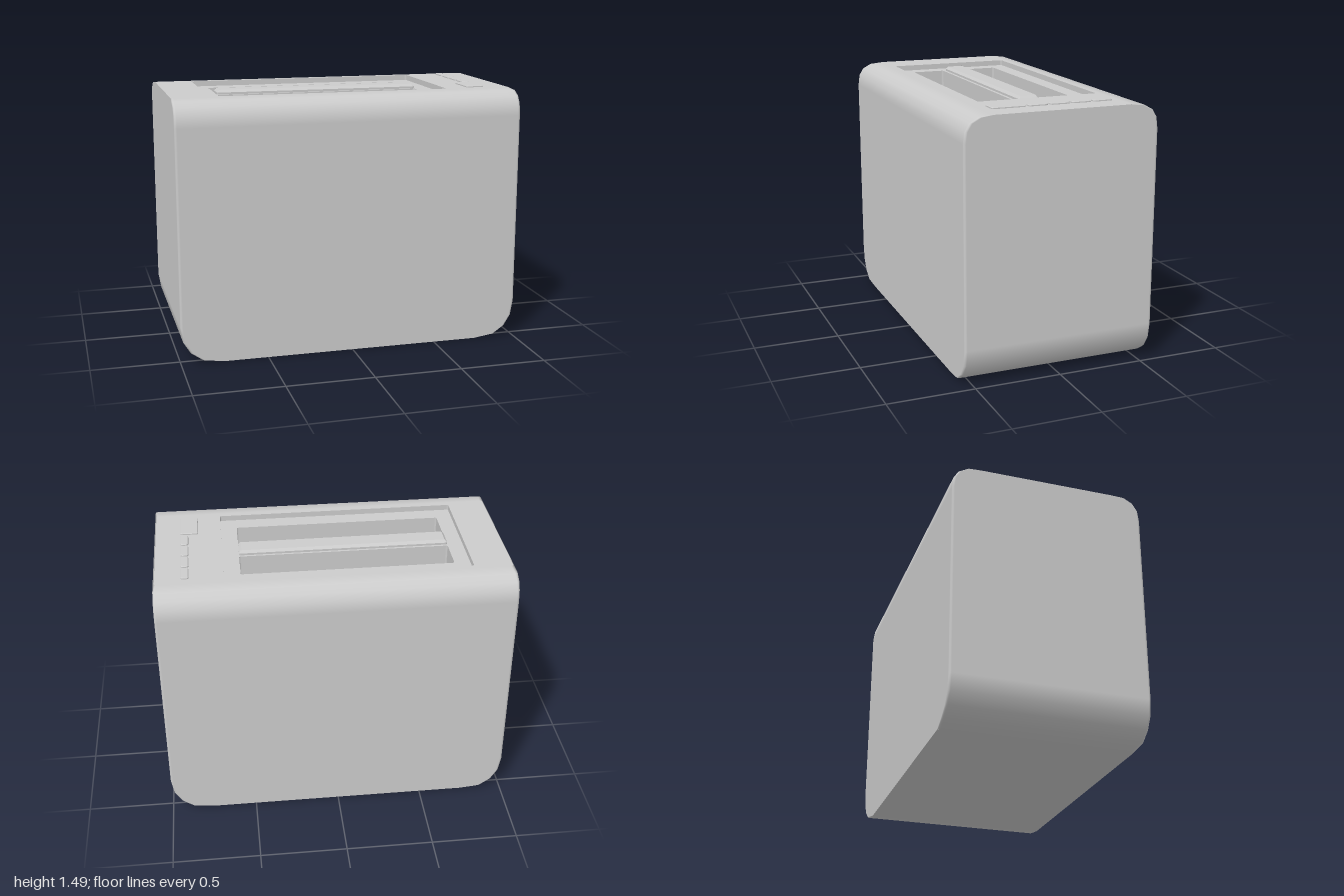
import * as THREE from 'three';

const grey = new THREE.MeshStandardMaterial({ color: 0xcccccc });

// Rounded rectangle in plan; z is stored as -y so it lies flat after rotation
function outline(Type, [x0, x1, z0, z1], r) {
  const p = new Type(), b = -z1, t = -z0;
  p.moveTo(x0 + r, b);
  p.lineTo(x1 - r, b).quadraticCurveTo(x1, b, x1, b + r);
  p.lineTo(x1, t - r).quadraticCurveTo(x1, t, x1 - r, t);
  p.lineTo(x0 + r, t).quadraticCurveTo(x0, t, x0, t - r);
  p.lineTo(x0, b + r).quadraticCurveTo(x0, b, x0 + r, b);
  return p;
}

// Horizontal slab from y0 to y1 with optional cut-outs and chamfer
function slab(name, rect, y0, y1, { r = 0.01, holes = [], bevel = 0 } = {}) {
  const shape = outline(THREE.Shape, rect, r);
  shape.holes = holes.map((h) => outline(THREE.Path, h, 0.01));
  const geo = new THREE.ExtrudeGeometry(shape, {
    depth: y1 - y0 - 2 * bevel, curveSegments: 3,
    bevelEnabled: bevel > 0, bevelThickness: bevel, bevelSize: bevel,
    bevelOffset: -bevel, bevelSegments: 1,
  });
  geo.rotateX(-Math.PI / 2).translate(0, y0 + bevel, 0);
  const mesh = new THREE.Mesh(geo, grey);
  mesh.name = name;
  return mesh;
}

// Housing: stacked rectangles, ends curving in at the bottom, front and back at the top
function housing() {
  // y, half width, half depth, tilt of end normal, tilt of front/back normal (degrees)
  const rings = [
    [0, 0.77, 0.55, -90, 0],
    [0.02, 0.88, 0.56, -67, 0],
    [0.065, 0.945, 0.56, -45, 0],
    [0.13, 0.985, 0.56, -22, 0],
    [0.22, 1, 0.56, 0, 0],
    [1.34, 1, 0.56, 0, 0],
    [1.405, 1, 0.551, 0, 22],
    [1.447, 1, 0.525, 0, 45],
    [1.474, 1, 0.475, 0, 67],
    [1.482, 0.993, 0.4, 0, 90],
  ];
  const r = 0.015, steps = 3, n = 4 * (steps + 1), rad = Math.PI / 180;
  const pos = [], nor = [], idx = [];
  rings.forEach(([y, hx, hz, tx, tz], i) => {
    for (let q = 0; q < 4; q++) {
      const sx = q === 0 || q === 3 ? 1 : -1, sz = q < 2 ? 1 : -1;
      for (let k = 0; k <= steps; k++) {
        const a = (q + k / steps) * Math.PI / 2, c = Math.cos(a), s = Math.sin(a);
        pos.push(sx * (hx - r) + r * c, y, sz * (hz - r) + r * s);
        const v = new THREE.Vector3(
          c * Math.cos(tx * rad),
          Math.abs(c) * Math.sin(tx * rad) + Math.abs(s) * Math.sin(tz * rad),
          s * Math.cos(tz * rad)).normalize();
        nor.push(v.x, v.y, v.z);
      }
    }
    if (i === 0) return;
    for (let j = 0; j < n; j++) {
      const a = (i - 1) * n + j, b = (i - 1) * n + (j + 1) % n;
      idx.push(a, a + n, b, b, a + n, b + n);
    }
  });
  const geo = new THREE.BufferGeometry();
  geo.setAttribute('position', new THREE.Float32BufferAttribute(pos, 3));
  geo.setAttribute('normal', new THREE.Float32BufferAttribute(nor, 3));
  geo.setIndex(idx);
  const mesh = new THREE.Mesh(geo, grey);
  mesh.name = 'housing';
  return mesh;
}

export function createModel() {
  const model = new THREE.Group();
  model.name = 'toaster';
  const recess = [-0.775, 0.615, -0.375, 0.365];
  const slots = [[-0.685, 0.52, -0.28, -0.08], [-0.685, 0.52, 0.072, 0.268]];

  model.add(housing());
  model.add(slab('base', [-0.77, 0.77, -0.55, 0.55], 0, 0.01, { r: 0.015 }));

  // Top deck with a shallow recess, and the slotted panel inside it
  model.add(slab('topDeck', [-0.993, 0.993, -0.4, 0.4], 1.44, 1.482, { holes: [recess] }));
  model.add(slab('slotPanel', [-0.78, 0.62, -0.38, 0.37], 0.4, 1.45, { holes: slots }));
  model.add(slab('slotFloor', [-0.78, 0.62, -0.38, 0.37], 0.38, 0.4));
  model.add(slab('centreBar', [-0.685, 0.52, -0.067, 0.055], 1.42, 1.477, { bevel: 0.015 }));

  // Row of controls: one large button, four small ones
  const buttons = new THREE.Group();
  buttons.name = 'buttons';
  buttons.add(slab('largeButton', [0.748, 0.85, 0.152, 0.345], 1.465, 1.492, { bevel: 0.004 }));
  for (let i = 0; i < 4; i++) {
    const z = -0.355 + i * 0.126;
    buttons.add(slab('smallButton', [0.805, 0.85, z, z + 0.112], 1.465, 1.492, { r: 0.015, bevel: 0.004 }));
  }
  model.add(buttons);
  return model;
}
